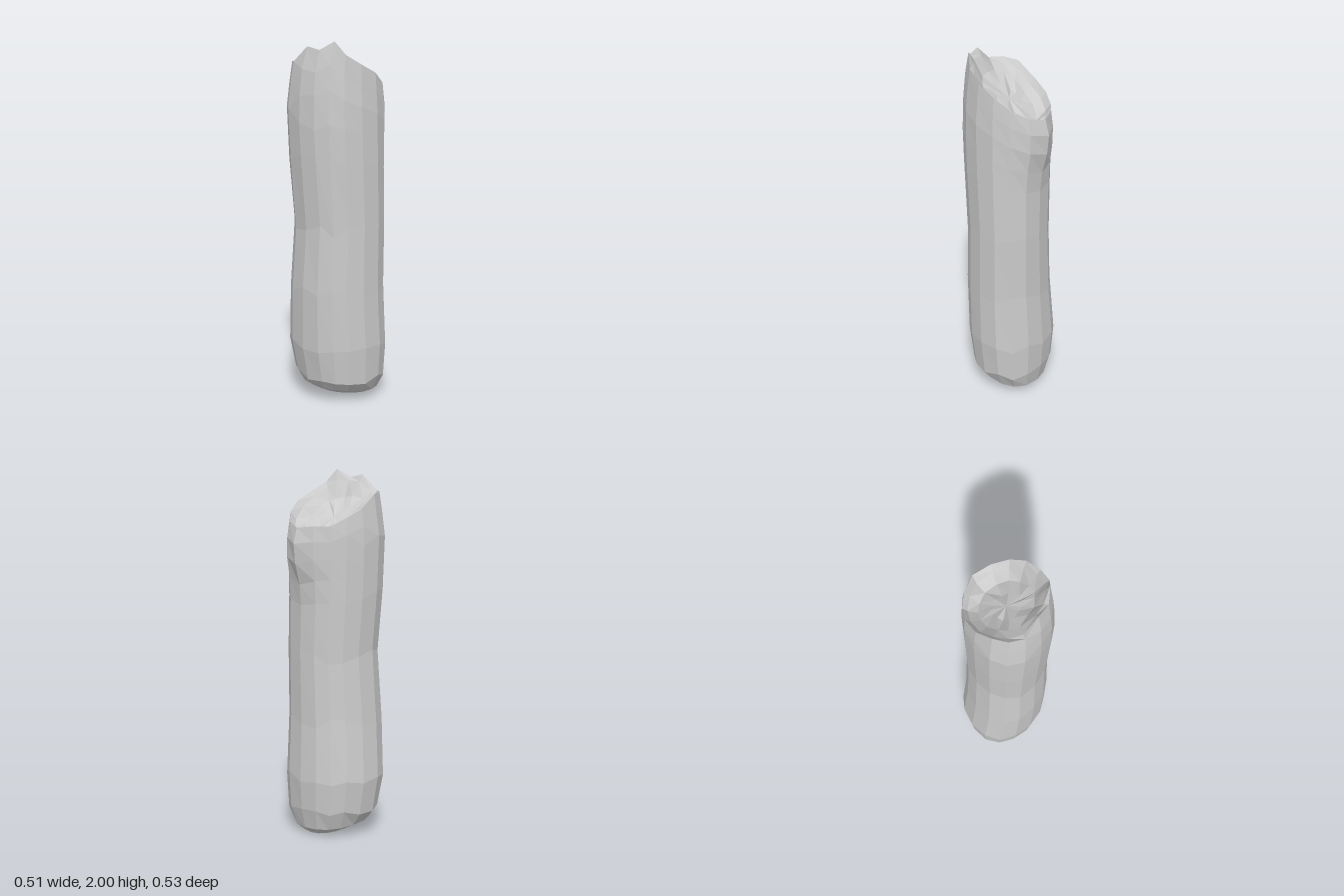
import * as THREE from 'three';

const SEG = 16;
// Body outline by height: y, xMin, xMax, zMin, zMax
const PROFILE = [
  [0, -0.12, 0.12, -0.16, 0.12],
  [0.04, -0.19, 0.19, -0.2, 0.18],
  [0.13, -0.235, 0.235, -0.225, 0.215],
  [0.32, -0.258, 0.25, -0.235, 0.245],
  [0.65, -0.228, 0.243, -0.217, 0.253],
  [1.0, -0.205, 0.243, -0.217, 0.235],
  [1.35, -0.222, 0.243, -0.212, 0.26],
  [1.65, -0.225, 0.24, -0.21, 0.273],
  [1.87, -0.195, 0.222, -0.2, 0.252],
  [2.0, -0.17, 0.22, -0.2, 0.215],
];
// Height of the broken rim, from +x round through +z
const RIM = [1.88, 1.93, 2.0, 1.955, 1.97, 1.885, 1.88, 1.865,
  1.79, 1.74, 1.7, 1.7, 1.69, 1.72, 1.77, 1.83];

function outline(y) {
  let i = 0;
  while (i < PROFILE.length - 2 && y > PROFILE[i + 1][0]) i++;
  const a = PROFILE[i], b = PROFILE[i + 1];
  const t = THREE.MathUtils.clamp((y - a[0]) / (b[0] - a[0]), 0, 1);
  return a.map((v, k) => THREE.MathUtils.lerp(v, b[k], t));
}

function seeded(seed) {
  return () => (seed = (seed * 16807) % 2147483647) / 2147483647 - 0.5;
}

// Point on the skin at height y; scale pulls it towards the axis
function skin(j, y, scale = 1) {
  const [, x0, x1, z0, z1] = outline(y);
  const a = (j / SEG) * Math.PI * 2;
  const round = (v) => Math.sign(v) * Math.abs(v) ** 0.88;
  // The section is wider along one diagonal than the other
  const r = scale * (1 - 0.055 * Math.sin(2 * a));
  const p = new THREE.Vector3(
    (x0 + x1) / 2 + ((x1 - x0) / 2) * round(Math.cos(a)) * r, y,
    (z0 + z1) / 2 + ((z1 - z0) / 2) * round(Math.sin(a)) * r);
  // Swelling below the low side of the rim
  if (p.z < 0) {
    p.z -= 0.057 * scale * Math.exp(-(((p.x - 0.02) / 0.12) ** 2) - ((y - 1.58) / 0.16) ** 2);
  }
  return p;
}

function bodyGeometry() {
  const rand = seeded(77);
  const rows = [];
  const addRow = (fn) => rows.push(Array.from({ length: SEG }, (_, j) => fn(j)));

  // Rounded, slightly tilted base
  addRow(() => new THREE.Vector3(0, 0.015, -0.03));
  for (const y of [0, 0.04, 0.13, 0.32]) {
    addRow((j) => {
      const p = skin(j, y);
      p.y += 0.17 * (p.z + 0.16) * Math.max(0, 1 - y / 0.16);
      if (y > 0.1) p.y += rand() * 0.04;
      return p;
    });
  }
  // Long sides, with facet seams at uneven heights
  for (const y of [0.65, 1.0]) addRow((j) => skin(j, y + rand() * 0.08));
  // Upper sides stretch up to the broken rim
  for (const f of [0.4, 0.58, 0.74, 0.88, 1]) {
    addRow((j) => skin(j, 1 + (RIM[j] - 1) * f + (f < 0.8 ? rand() * 0.03 : 0)));
  }
  // Hollow inside the rim: steep wall, then a floor falling to the back
  const floor = (x, z) => 1.73 + 0.7 * z + 0.2 * x;
  for (const [scale, level] of [[0.88, 0.35], [0.65, 0.9], [0.35, 1]]) {
    addRow((j) => {
      const p = skin(j, RIM[j], scale);
      p.y = THREE.MathUtils.lerp(RIM[j], floor(p.x, p.z), level) + rand() * 0.025;
      return p;
    });
  }
  addRow(() => new THREE.Vector3(0.01, floor(0.01, 0.01), 0.01));

  const index = [];
  const last = rows.length - 1;
  for (let i = 0; i < last; i++) {
    for (let j = 0; j < SEG; j++) {
      const k = (j + 1) % SEG;
      const a = i * SEG + j, b = i * SEG + k, c = a + SEG, d = b + SEG;
      index.push(a, c, d);
      // The first and last rows are single points
      if (i > 0) index.push(a, d, b);
    }
  }
  const g = new THREE.BufferGeometry().setFromPoints(rows.flat());
  // Close the hollow with a fan whose tip is the last row
  const fan = (last - 1) * SEG * 6 - SEG * 3;
  index.length = fan;
  for (let j = 0; j < SEG; j++) {
    index.push((last - 1) * SEG + j, last * SEG, (last - 1) * SEG + ((j + 1) % SEG));
  }
  g.setIndex(index);
  const faceted = g.toNonIndexed();
  faceted.computeVertexNormals();
  return faceted;
}

export function createModel() {
  const group = new THREE.Group();
  const material = new THREE.MeshStandardMaterial({ color: 0xcccccc, flatShading: true });
  const body = new THREE.Mesh(bodyGeometry(), material);
  body.name = 'body';
  group.add(body);
  return group;
}
